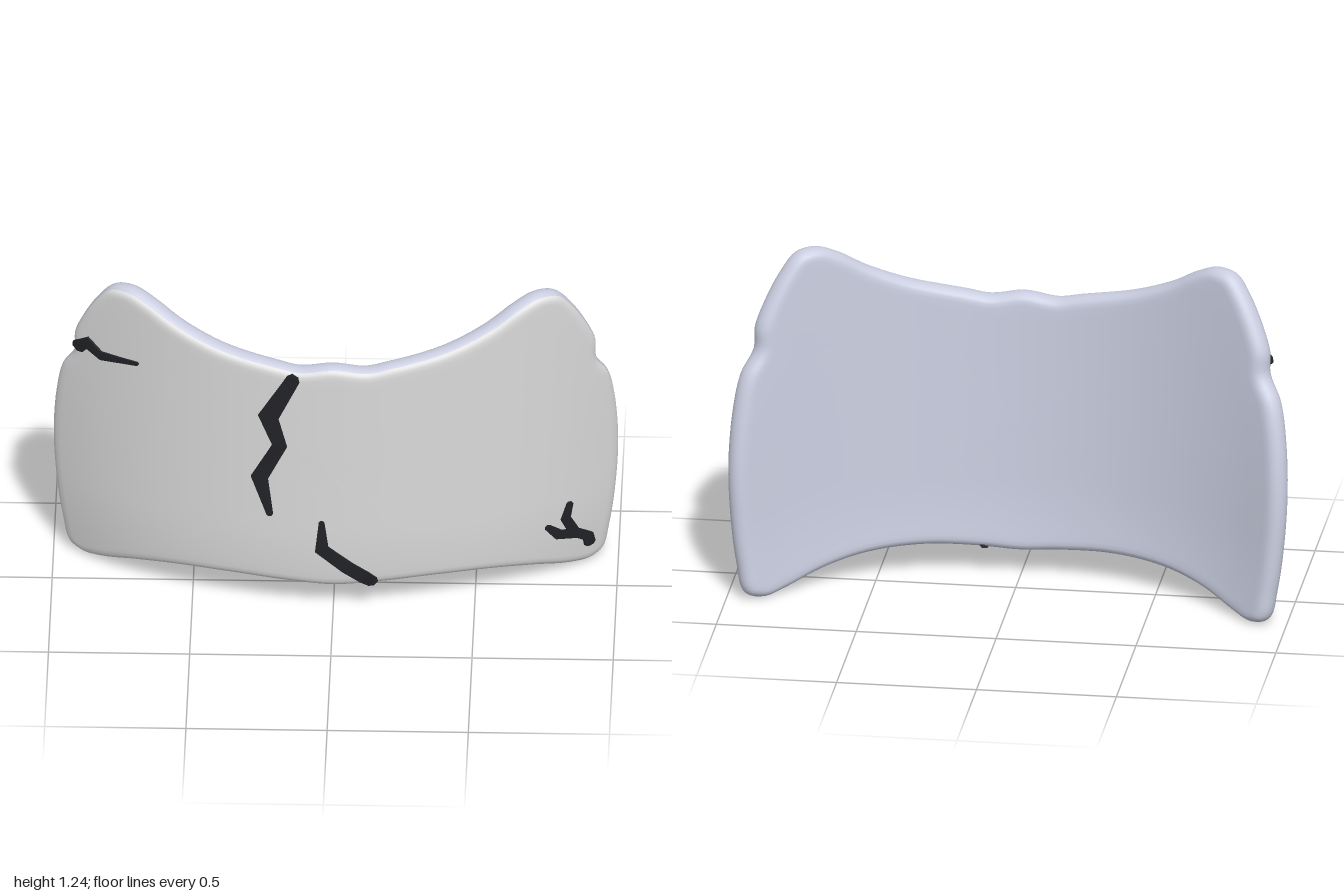
import * as THREE from 'three';

const R = 1.4;            // bend radius of the outer face
const THICK = 0.083;      // plate thickness
const ROUND = 0.042;      // rim rounding

// Wraps flat plate coordinates (x, y, depth below the outer face) onto the leaning arc
function bend(x, y, depth) {
  const a = Math.asin(x / R);
  const curl = Math.max(0, 1 - y / 0.35);
  const sweep = 0.055 * x ** 6 * (y - 0.25);     // the upper sides swing forward
  const front = 0.197 + 0.065 * y - 0.025 * curl * curl + sweep;
  return [(R - depth) * Math.sin(a), y, front - R + (R - depth) * Math.cos(a)];
}

// Half of the rim outline, from bottom centre round the left side to top centre
const HALF = [
  [0, 0.093], [0.15, 0.103], [0.35, 0.112], [0.55, 0.098], [0.7, 0.063], [0.82, 0.018],
  [0.89, 0.002], [0.942, 0.025], [0.968, 0.13], [0.99, 0.3], [1, 0.5], [0.988, 0.7],
  [0.965, 0.82], [0.925, 0.9], [0.922, 0.98], [0.895, 1.06], [0.84, 1.17], [0.79, 1.232],
  [0.725, 1.243], [0.65, 1.213], [0.55, 1.152], [0.4, 1.09], [0.2, 1.045], [0.12, 1.03], [0, 1.045],
];

function plateGeometry() {
  const mirrored = HALF.slice(1, -1).reverse().map(([x, y]) => [-x, y]);
  const pts = [...HALF, ...mirrored].map(([x, y]) => new THREE.Vector3(x, y, 0));
  const outline = new THREE.CatmullRomCurve3(pts, true, 'centripetal');
  const N = 240;
  const rim = [];
  for (let j = 0; j < N; j++) {
    const p = outline.getPoint(j / N), t = outline.getTangent(j / N);
    rim.push({ x: p.x, y: p.y, nx: -t.y, ny: t.x });
  }
  // Rings run from the front centre, over the rounded rim, to the back centre
  const rings = [];
  const inner = 14, arc = 12;
  for (let i = 0; i < inner; i++) rings.push([i / inner, ROUND, 0]);
  for (let i = 0; i <= arc; i++) {
    const a = Math.PI * i / arc;
    const bulge = Math.max(0, Math.sin(a)) ** 0.75;
    rings.push([1, ROUND * (1 - bulge), THICK * (1 - Math.cos(a)) / 2]);
  }
  for (let i = inner - 1; i >= 0; i--) rings.push([i / inner, ROUND, THICK]);

  const pos = [], index = [];
  rings.forEach(([s, inset, depth], i) => {
    for (let j = 0; j < N; j++) {
      const r = rim[j];
      const x = (r.x + r.nx * inset) * s * 1.018;
      const y = 0.57 + (r.y + r.ny * inset - 0.57) * s;
      pos.push(...bend(x, y, depth));
      if (i === rings.length - 1) continue;
      const a = i * N + j, d = i * N + (j + 1) % N;
      index.push(a, a + N, d + N, a, d + N, d);
    }
  });
  const g = new THREE.BufferGeometry();
  g.setAttribute('position', new THREE.Float32BufferAttribute(pos, 3));
  g.setIndex(index);
  g.computeVertexNormals();
  // Front face with its bevel, then rim and back
  const split = (inner + 3) * N * 6;
  g.addGroup(0, split, 0);
  g.addGroup(split, index.length - split, 1);
  return g;
}

// Tapered ribbon following the plate; each point is [x, y, half width, depth, thickness]
function crackGeometry(path) {
  const tip = (p, q) => {
    const l = Math.hypot(p[0] - q[0], p[1] - q[1]), k = p[2] * 0.6 / l;
    return [p[0] + (p[0] - q[0]) * k, p[1] + (p[1] - q[1]) * k, p[2] * 0.5, p[3], p[4]];
  };
  const n = path.length;
  const pts = [tip(path[0], path[1]), ...path, tip(path[n - 1], path[n - 2])];
  const sections = pts.map(([x, y, w, sink = 0, thick = 0.03], i) => {
    const a = pts[Math.max(0, i - 1)], b = pts[Math.min(pts.length - 1, i + 1)];
    const l = Math.hypot(b[0] - a[0], b[1] - a[1]);
    const ox = -(b[1] - a[1]) / l * w, oy = (b[0] - a[0]) / l * w;
    const top = sink - 0.008, low = sink + thick;
    return [bend(x + ox, y + oy, top), bend(x - ox, y - oy, top),
      bend(x - ox, y - oy, low), bend(x + ox, y + oy, low)];
  });
  const pos = [];
  const quad = (a, b, c, d) => pos.push(...a, ...b, ...c, ...a, ...c, ...d);
  for (let i = 0; i < sections.length - 1; i++) {
    const s = sections[i], t = sections[i + 1];
    for (let k = 0; k < 4; k++) {
      const m = (k + 1) % 4;
      quad(s[k], s[m], t[m], t[k]);
    }
  }
  const s = sections[0], e = sections[sections.length - 1];
  quad(s[0], s[3], s[2], s[1]);
  quad(e[0], e[1], e[2], e[3]);
  const g = new THREE.BufferGeometry();
  g.setAttribute('position', new THREE.Float32BufferAttribute(pos, 3));
  g.computeVertexNormals();
  return g;
}

const CRACKS = {
  upperCrack: [[-0.14, 1.0, 0.025, 0.003], [-0.228, 0.83, 0.036], [-0.188, 0.71, 0.026],
    [-0.26, 0.565, 0.03], [-0.223, 0.41, 0.011]],
  lowerCrack: [[-0.04, 0.385, 0.01], [-0.04, 0.27, 0.026], [0.05, 0.19, 0.026],
    [0.112, 0.143, 0.026], [0.14, 0.12, 0.024, 0.008, 0.065]],
  rightEdgeCrack: [[-0.908, 0.935, 0.024, 0.002], [-0.873, 0.967, 0.026], [-0.825, 0.932, 0.018], [-0.695, 0.948, 0.007]],
  leftCornerCrack: [[0.898, 0.095, 0.018], [0.892, 0.13, 0.018], [0.86, 0.16, 0.018],
    [0.79, 0.188, 0.019], [0.753, 0.235, 0.011]],
  leftCornerBranch: [[0.848, 0.168, 0.017], [0.815, 0.25, 0.016], [0.83, 0.31, 0.01]],
};

export function createModel() {
  const face = new THREE.MeshStandardMaterial({ name: 'pale grey', color: 0xe0dfdf });
  const edge = new THREE.MeshStandardMaterial({ name: 'blue grey', color: 0xc8ccde });
  const dark = new THREE.MeshStandardMaterial({ name: 'crack black', color: 0x232428 });
  const model = new THREE.Group();
  model.name = 'crackedPlate';

  const plate = new THREE.Mesh(plateGeometry(), [face, edge]);
  plate.name = 'curvedPlate';
  model.add(plate);

  for (const [name, path] of Object.entries(CRACKS)) {
    const crack = new THREE.Mesh(crackGeometry(path), dark);
    crack.name = name;
    model.add(crack);
  }
  return model;
}
